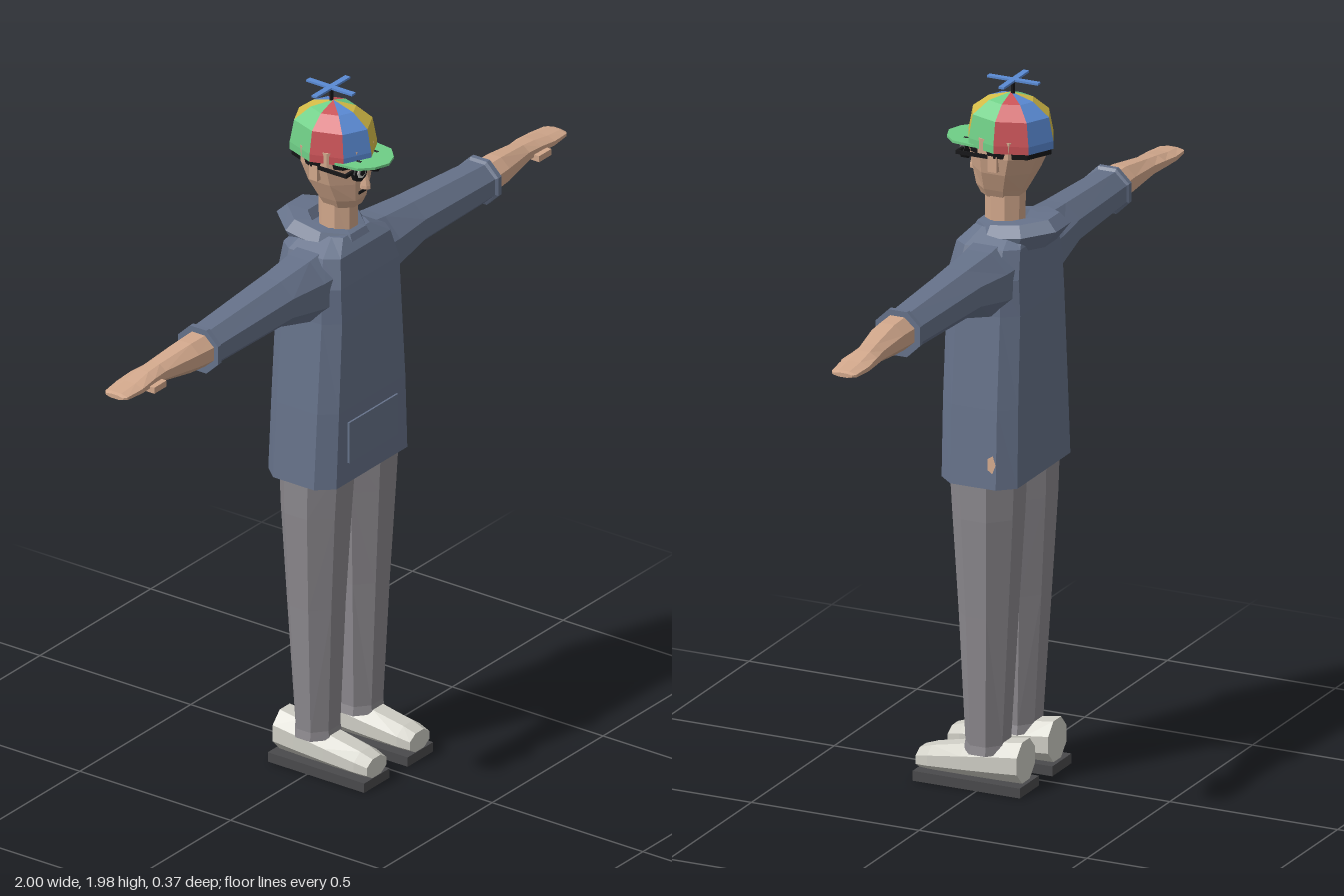
import * as THREE from 'three';

const material = (name, color) => {
  const m = new THREE.MeshStandardMaterial({ color });
  m.name = name;
  return m;
};

// Cross-section outlines on a unit square
const ROUND = Array.from({ length: 8 }, (_, i) => {
  const a = ((i + 0.5) * Math.PI) / 4;
  return [Math.cos(a) / 0.924, Math.sin(a) / 0.924];
});
const POINTED = Array.from({ length: 8 }, (_, i) => [Math.cos((i * Math.PI) / 4), Math.sin((i * Math.PI) / 4)]);
const BOXY = [[1, -0.6], [1, 0.6], [0.8, 1], [-0.8, 1], [-1, 0.6], [-1, -0.6], [-0.8, -1], [0.8, -1]];

// Faceted normals
function flat(geo) {
  const g = geo.index ? geo.toNonIndexed() : geo;
  g.computeVertexNormals();
  return g;
}

// Skin sections [t, centreA, centreB, radiusA, radiusB] along an axis; (A, B) are the
// other two axes in x, y, z order
function loft(axis, sections, outline = ROUND) {
  const place = {
    x: (t, a, b) => [t, a, b],
    y: (t, a, b) => [a, t, b],
    z: (t, a, b) => [a, b, t],
  }[axis];
  const n = outline.length;
  const rings = sections.map(([t, ca, cb, ra, rb]) => outline.map(([u, v]) => place(t, ca + ra * u, cb + rb * v)));
  const out = [];
  const tri = (a, b, c) => (axis === 'y' ? out.push(...a, ...c, ...b) : out.push(...a, ...b, ...c));
  for (let r = 0; r < rings.length - 1; r++) {
    for (let i = 0; i < n; i++) {
      const j = (i + 1) % n;
      tri(rings[r][i], rings[r][j], rings[r + 1][j]);
      tri(rings[r][i], rings[r + 1][j], rings[r + 1][i]);
    }
  }
  const first = rings[0], last = rings[rings.length - 1];
  for (let i = 1; i < n - 1; i++) {
    tri(first[0], first[i + 1], first[i]);
    tri(last[0], last[i], last[i + 1]);
  }
  const g = new THREE.BufferGeometry();
  g.setAttribute('position', new THREE.Float32BufferAttribute(out, 3));
  return flat(g);
}

// Copy a part to the other side of x = 0, keeping its faces outward
function mirror(geo) {
  const g = flat(geo.clone());
  const p = g.attributes.position;
  for (let i = 0; i < p.count; i += 3) {
    const [a, b, c] = [0, 1, 2].map((k) => new THREE.Vector3().fromBufferAttribute(p, i + k));
    [a, c, b].forEach((v, k) => p.setXYZ(i + k, -v.x, v.y, v.z));
  }
  return flat(g);
}

const box = (w, h, d, x, y, z) => new THREE.BoxGeometry(w, h, d).translate(x, y, z);

export function createModel() {
  const model = new THREE.Group();
  model.name = 'person';
  const hoodie = material('hoodie slate', 0x66728a);
  const trousers = material('trouser grey', 0x8c898e);
  const skin = material('skin', 0xd2a88c);
  const pale = material('shoe pale grey', 0xd0cfc6);
  const sole = material('sole dark grey', 0x4a4a4c);
  const red = material('cap red', 0xca5257);
  const blue = material('cap blue', 0x5a8ad4);
  const yellow = material('cap yellow', 0xd6bd48);
  const green = material('cap green', 0x6fce86);
  const black = material('black', 0x161618);

  const add = (name, geo, mat) => {
    const mesh = new THREE.Mesh(flat(geo), mat);
    mesh.name = name;
    model.add(mesh);
  };
  const pair = (name, geo, mat) => {
    add('left' + name, geo, mat);
    add('right' + name, mirror(geo), mat);
  };

  // Hoodie body, front pocket and sleeves
  add('torso', loft('y', [
    [0.88, 0, -0.012, 0.2, 0.113],
    [1.1, 0, -0.01, 0.187, 0.112],
    [1.36, 0, -0.01, 0.166, 0.11],
    [1.46, 0, -0.01, 0.165, 0.105],
    [1.54, 0, -0.015, 0.14, 0.095],
    [1.575, 0, -0.02, 0.075, 0.07],
  ], BOXY), hoodie);
  add('pocket', box(0.22, 0.12, 0.015, 0, 1.0, 0.1), hoodie);
  pair('Sleeve', loft('x', [
    [0.1, 1.45, -0.015, 0.1, 0.092],
    [0.17, 1.45, -0.015, 0.09, 0.085],
    [0.3, 1.463, -0.012, 0.067, 0.073],
    [0.62, 1.457, -0.006, 0.056, 0.06],
    [0.625, 1.457, -0.005, 0.064, 0.066],
    [0.64, 1.457, -0.005, 0.064, 0.066],
  ]), hoodie);

  // Folded hood, sheared so the back sits higher
  const hood = loft('y', [
    [1.515, 0, -0.045, 0.088, 0.1],
    [1.56, 0, -0.055, 0.105, 0.128],
    [1.592, 0, -0.05, 0.085, 0.105],
    [1.595, 0, -0.03, 0.056, 0.065],
    [1.555, 0, -0.015, 0.05, 0.055],
  ]);
  const hp = hood.attributes.position;
  for (let i = 0; i < hp.count; i++) hp.setY(i, hp.getY(i) - 0.15 * (hp.getZ(i) + 0.05));
  add('hood', hood, hoodie);

  // Forearms, hands and thumbs
  pair('ForearmAndHand', loft('x', [
    [0.6, 1.458, -0.003, 0.048, 0.054],
    [0.7, 1.46, -0.005, 0.043, 0.048],
    [0.82, 1.46, -0.015, 0.027, 0.036],
    [0.87, 1.46, -0.018, 0.022, 0.04],
    [0.93, 1.457, -0.018, 0.015, 0.043],
    [0.99, 1.456, -0.018, 0.009, 0.037],
    [1.0, 1.456, -0.018, 0.006, 0.028],
  ]), skin);
  pair('Thumb', box(0.055, 0.018, 0.03, 0.868, 1.448, 0.023), skin);

  // Skin showing at the hem of the left side
  const patch = new THREE.CircleGeometry(0.022, 5).scale(0.6, 1.2, 1).rotateY(Math.PI / 2).rotateZ(0.06);
  add('hemPatch', patch.translate(0.2545, 0.95, -0.065).translate(-0.057, 0, 0), skin);

  // Trouser legs with small cuffs
  pair('TrouserLeg', loft('y', [
    [0.105, 0.096, -0.007, 0.069, 0.059],
    [0.13, 0.097, -0.007, 0.064, 0.055],
    [0.5, 0.1, -0.01, 0.078, 0.074],
    [0.78, 0.1, -0.01, 0.093, 0.09],
    [0.92, 0.098, -0.008, 0.098, 0.097],
  ]), trousers);

  // Shoes
  pair('Sole', box(0.115, 0.028, 0.32, 0.098, 0.014, 0.03), sole);
  pair('Shoe', loft('z', [
    [-0.118, 0.095, 0.086, 0.055, 0.058],
    [-0.05, 0.095, 0.08, 0.056, 0.054],
    [0.05, 0.096, 0.071, 0.056, 0.045],
    [0.15, 0.097, 0.061, 0.052, 0.035],
    [0.188, 0.097, 0.055, 0.044, 0.028],
  ]), pale);

  // Neck, head, ears and face
  add('neck', loft('y', [[1.54, 0, -0.01, 0.047, 0.05], [1.68, 0, -0.01, 0.047, 0.052]]), skin);
  add('head', loft('y', [
    [1.65, 0, -0.002, 0.045, 0.056],
    [1.675, 0, -0.003, 0.058, 0.068],
    [1.73, 0, -0.014, 0.082, 0.086],
    [1.78, 0, -0.022, 0.094, 0.1],
    [1.83, 0, -0.024, 0.094, 0.104],
  ]), skin);
  pair('Ear', box(0.018, 0.045, 0.028, 0.092, 1.765, -0.02), skin);
  add('nose', loft('y', [
    [1.71, 0, 0.076, 0.013, 0.02],
    [1.72, 0, 0.076, 0.013, 0.019],
    [1.76, 0, 0.075, 0.007, 0.009],
  ], POINTED), skin);
  add('mouth', box(0.032, 0.008, 0.009, 0, 1.697, 0.067), black);

  // Round glasses over the eyes
  const disc = (r, d, z) => new THREE.CylinderGeometry(r, r, d, 8).rotateX(Math.PI / 2).translate(0.038, 1.777, z);
  pair('GlassesFrame', disc(0.03, 0.014, 0.087), black);
  pair('Lens', disc(0.019, 0.004, 0.095), pale);
  pair('Pupil', disc(0.011, 0.004, 0.098), black);
  pair('GlassesArm', box(0.006, 0.01, 0.11, 0.097, 1.783, 0.032), black);
  pair('GlassesHinge', box(0.04, 0.01, 0.008, 0.08, 1.783, 0.085), black);
  add('glassesBridge', box(0.03, 0.008, 0.008, 0, 1.78, 0.09), black);

  // Cap: eight coloured wedges, dark band, brim
  const capZ = -0.027;
  const profile = [[0.107, 1.798], [0.107, 1.82], [0.096, 1.885], [0.056, 1.922], [0, 1.941]].map((p) => new THREE.Vector2(...p));
  const wheel = [yellow, green, red, blue];
  for (let i = 0; i < 8; i++) {
    const wedge = new THREE.LatheGeometry(profile, 1, (i * Math.PI) / 4, Math.PI / 4);
    add('capPanel' + (i + 1), wedge.scale(1, 1, 1.18).translate(0, 0, capZ), wheel[i % 4]);
  }
  add('capBand', loft('y', [[1.782, 0, capZ, 0.102, 0.12], [1.8, 0, capZ, 0.104, 0.122]], POINTED), black);
  const brim = new THREE.Shape([[-0.085, -0.04], [0.085, -0.04], [0.076, -0.11], [0.042, -0.143], [0, -0.158], [-0.042, -0.143], [-0.076, -0.11]]
    .map((p) => new THREE.Vector2(...p)));
  add('capBrim', new THREE.ExtrudeGeometry(brim, { depth: 0.007, bevelEnabled: false }).rotateX(-Math.PI / 2).translate(0, 1.798, 0), green);

  // Propeller
  add('propellerStem', new THREE.CylinderGeometry(0.006, 0.006, 0.045, 6).translate(0, 1.955, -0.033), black);
  add('propellerBladeAcross', box(0.152, 0.006, 0.017, 0, 1.976, -0.035), blue);
  add('propellerBladeAlong', box(0.017, 0.0058, 0.152, 0, 1.976, -0.035), blue);

  return model;
}
